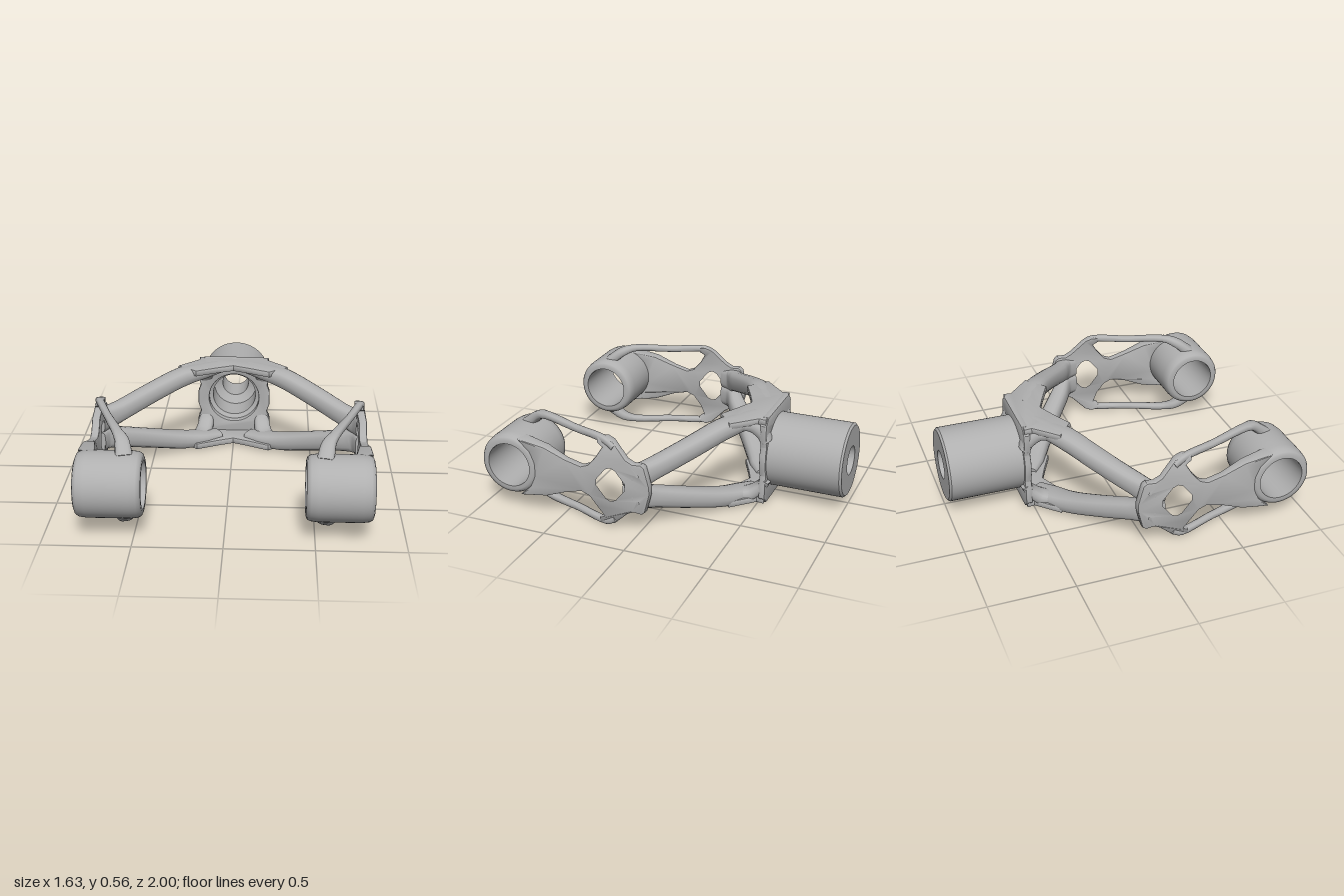
import * as THREE from 'three';
import { toCreasedNormals } from 'three/addons/utils/BufferGeometryUtils.js';

const MID = 0.278; // height of the horizontal symmetry plane
const metal = new THREE.MeshStandardMaterial({ color: 0xb0b0b0 });
metal.name = 'grey metal';

function part(name, geometry, crease = 0.7) {
  const mesh = new THREE.Mesh(toCreasedNormals(geometry, crease), metal);
  mesh.name = name;
  return mesh;
}

// Rounded bar through stations [x, y, z, halfWidth, halfHeight]
function bar(stations, sx, sy, steps = 24, sides = 16) {
  const path = new THREE.CatmullRomCurve3(stations.map(([x, y, z]) =>
    new THREE.Vector3(x * sx, MID + (y - MID) * sy, z)), false, 'centripetal');
  const sizes = stations.map(s => [s[3], s[4]]);
  const up0 = new THREE.Vector3(0, 1, 0);
  const pos = [], index = [];
  const rings = [[0, 0.01]];
  for (let i = 0; i <= steps; i++) rings.push([i / steps, 1]);
  rings.push([1, 0.01]);
  for (const [t, k] of rings) {
    const c = path.getPoint(t), d = path.getTangent(t);
    const side = d.clone().cross(up0).normalize(), up = side.clone().cross(d);
    const f = t * (sizes.length - 1), n = Math.min(Math.floor(f), sizes.length - 2);
    const w = THREE.MathUtils.lerp(sizes[n][0], sizes[n + 1][0], f - n) * k;
    const h = THREE.MathUtils.lerp(sizes[n][1], sizes[n + 1][1], f - n) * k;
    for (let j = 0; j < sides; j++) {
      const a = j / sides * Math.PI * 2, ca = Math.cos(a), sa = Math.sin(a);
      const p = c.clone()
        .addScaledVector(side, Math.sign(ca) * Math.abs(ca) ** 0.7 * w)
        .addScaledVector(up, Math.sign(sa) * Math.abs(sa) ** 0.7 * h);
      pos.push(p.x, p.y, p.z);
    }
  }
  for (let i = 0; i < rings.length - 1; i++) for (let j = 0; j < sides; j++) {
    const a = i * sides + j, b = i * sides + (j + 1) % sides;
    index.push(a, a + sides, b, a + sides, b + sides, b);
  }
  const g = new THREE.BufferGeometry();
  g.setAttribute('position', new THREE.Float32BufferAttribute(pos, 3));
  g.setIndex(index);
  return g;
}

// Mirror a non-indexed geometry in x, keeping its faces outward
function mirrorX(geometry) {
  const g = geometry.clone();
  const p = g.attributes.position;
  for (let i = 0; i < p.count; i += 3) {
    const v = [0, 2, 1].map(k => new THREE.Vector3().fromBufferAttribute(p, i + k));
    v.forEach((q, k) => p.setXYZ(i + k, -q.x, q.y, q.z));
  }
  return g;
}

const lathe = (pts, seg = 56) =>
  new THREE.LatheGeometry(pts.map(([r, y]) => new THREE.Vector2(r, y)), seg);
const vec = pts => pts.map(([x, y]) => new THREE.Vector2(x, y));
const flipY = pts => pts.map(([x, y]) => [x, 2 * MID - y]).reverse();
const flipX = pts => pts.map(([x, y]) => [-x, y]).reverse();

function circleHole(x, y, r) {
  const h = new THREE.Path();
  h.absarc(x, y, r, 0, Math.PI * 2, true);
  return h;
}

// Flat side panel in the z-y plane, with a diamond window and pin holes
function sidePanel() {
  const top = [[-0.07, 0.3], [-0.04, 0.415], [-0.02, 0.43], [0.03, 0.425], [0.07, 0.445],
    [0.16, 0.535], [0.2, 0.55], [0.25, 0.545], [0.25, 0.515], [0.215, 0.495], [0.25, 0.435],
    [0.3, 0.375], [0.35, 0.355], [0.45, 0.38], [0.58, 0.43], [0.75, 0.455], [0.68, 0.39],
    [0.652, 0.32]];
  const shape = new THREE.Shape(vec([...top, ...flipY(top)]));
  const win = [[0.07, 0.3], [0.13, 0.375], [0.165, 0.39], [0.2, 0.375], [0.26, 0.3]];
  shape.holes.push(new THREE.Path(vec([...win, ...flipY(win)])),
    circleHole(0, 0.362, 0.016), circleHole(0, 0.194, 0.016));
  const g = new THREE.ExtrudeGeometry(shape, { depth: 0.03, bevelThickness: 0.009,
    bevelSize: 0.009, bevelOffset: -0.007, bevelSegments: 2, curveSegments: 10 });
  g.rotateY(-Math.PI / 2).translate(0.801, 0, 0);
  // lean the upper and lower rims inward, thicken toward the eye
  const p = g.attributes.position;
  for (let i = 0; i < p.count; i++) {
    let x = p.getX(i);
    const z = p.getZ(i);
    if (z < 0.4) x -= Math.max(0, Math.abs(p.getY(i) - MID) - 0.17) * 0.3;
    if (x < 0.785) x -= Math.max(0, z - 0.45) * 0.15;
    p.setX(i, x);
  }
  return g;
}

export function createModel() {
  const model = new THREE.Group();
  model.name = 'forkBracket';

  // Hub with stepped bore
  model.add(part('hub', lathe([[0.087, -1], [0.21, -1], [0.222, -0.988], [0.222, -0.53],
    [0.165, -0.53], [0.165, -0.56], [0.14, -0.575], [0.14, -0.76], [0.087, -0.79],
    [0.087, -1]], 64).rotateX(Math.PI / 2).translate(0, MID, 0), 0.5));

  // Lobed collar around the front of the hub
  const lobe = [[0.232, 0.32], [0.215, 0.37], [0.235, 0.43], [0.23, 0.51], [0.19, 0.55]];
  const rightHalf = [...flipY(lobe), ...lobe];
  const collar = new THREE.Shape(vec([...rightHalf, ...flipX(rightHalf)]));
  collar.holes.push(circleHole(0, MID, 0.165));
  model.add(part('collar', new THREE.ExtrudeGeometry(collar, { depth: 0.025,
    bevelThickness: 0.008, bevelSize: 0.008, bevelOffset: -0.006, bevelSegments: 2,
    curveSegments: 24 }).translate(0, 0, -0.545)));

  // Upper and lower gusset plates joining the two arms
  const half = [[0, 0.38], [0.1, 0.335], [0.23, 0.27], [0.35, 0.37], [0.22, 0.5], [0.225, 0.545]];
  const plate = new THREE.Shape(vec([...half, ...flipX(half.slice(1))]));
  for (const [name, y] of [['upperGusset', 0.519], ['lowerGusset', 0.015]]) {
    model.add(part(name, new THREE.ExtrudeGeometry(plate, { depth: 0.024, bevelThickness: 0.008,
      bevelSize: 0.01, bevelOffset: -0.01, bevelSegments: 2 })
      .rotateX(-Math.PI / 2).translate(0, y, 0)));
  }

  const panel = sidePanel();
  for (const sx of [1, -1]) {
    const side = new THREE.Group();
    side.name = sx > 0 ? 'leftFork' : 'rightFork';
    for (const sy of [1, -1]) {
      // Sloping arm from gusset to fork node
      side.add(part('arm', bar([[0.1, 0.518, -0.45, 0.06, 0.034], [0.2, 0.51, -0.39, 0.075, 0.042],
        [0.32, 0.495, -0.315, 0.068, 0.055], [0.5, 0.435, -0.19, 0.062, 0.058],
        [0.68, 0.368, -0.05, 0.056, 0.062], [0.765, 0.34, 0.02, 0.046, 0.074],
        [0.78, 0.34, 0.1, 0.02, 0.06]], sx, sy), 1));
      // Fillet between collar corner and arm
      side.add(part('cornerFillet', bar([[0.185, 0.4, -0.545, 0.045, 0.03],
        [0.185, 0.45, -0.515, 0.05, 0.035], [0.2, 0.5, -0.45, 0.055, 0.04],
        [0.24, 0.505, -0.38, 0.05, 0.035]], sx, sy, 10), 1));
      // Thin strut running inward to the eye
      side.add(part('strut', bar([[0.78, 0.5, 0.15, 0.02, 0.02], [0.768, 0.533, 0.21, 0.022, 0.021],
        [0.69, 0.533, 0.43, 0.021, 0.02], [0.6, 0.535, 0.67, 0.028, 0.021],
        [0.565, 0.51, 0.74, 0.04, 0.028], [0.545, 0.445, 0.82, 0.05, 0.035]], sx, sy), 1));
    }
    side.add(part('sidePanel', sx > 0 ? panel : mirrorX(panel)));

    // Eye bushing across the fork end
    const e = 0.185, r = 0.134;
    side.add(part('eye', lathe([[r, -e], [0.155, -e], [0.172, -0.178], [0.182, -0.16],
      [0.187, -0.12], [0.187, 0.12], [0.182, 0.16], [0.172, 0.178], [0.155, e], [r, e], [r, -e]])
      .rotateZ(-Math.PI / 2).translate(sx * 0.63, 0.283, 0.813), 0.8));
    model.add(side);
  }
  return model;
}
